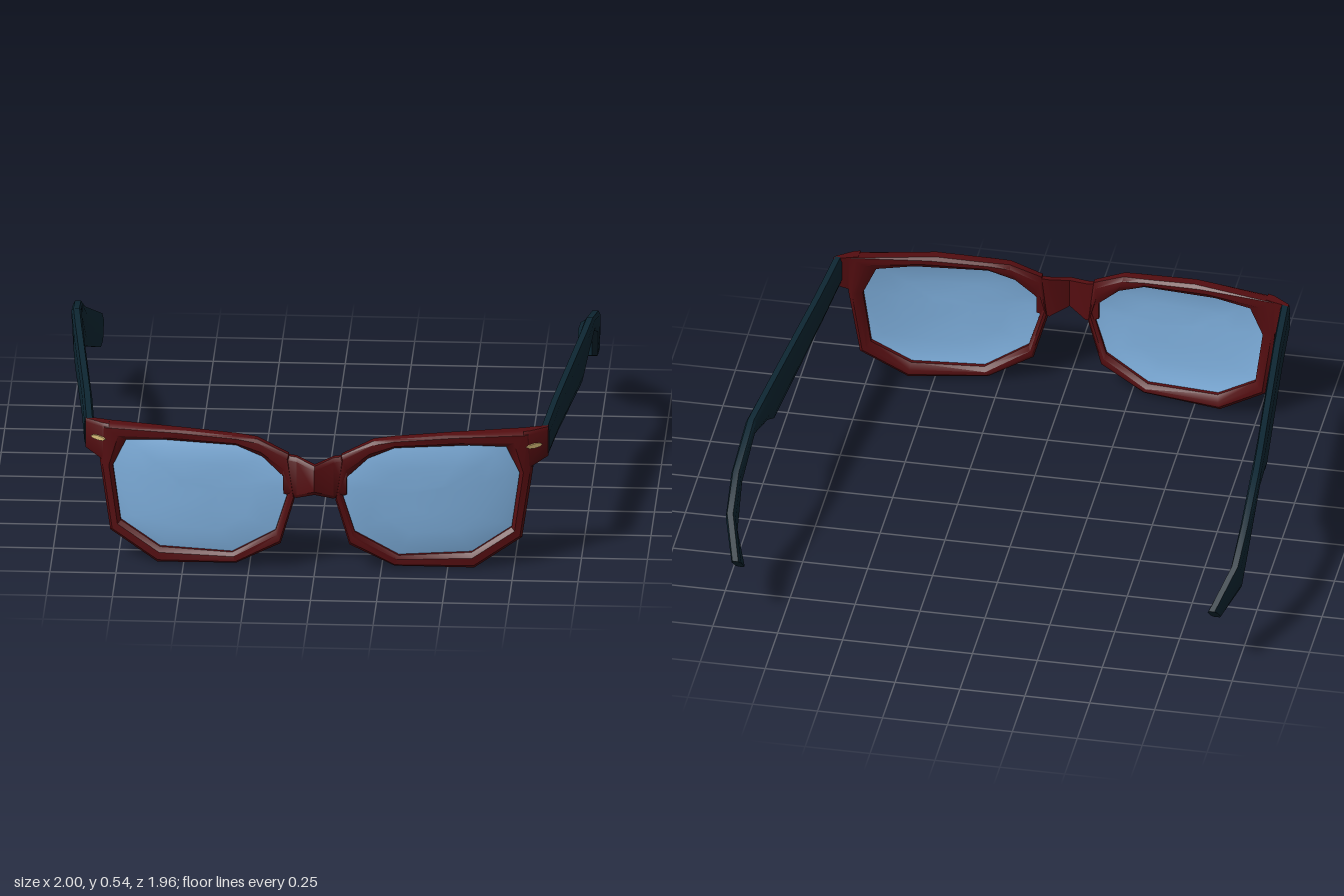
import * as THREE from 'three';
import { toCreasedNormals } from 'three/addons/utils/BufferGeometryUtils.js';

// Skin over a row of cross-sections (arrays of [x, y, z]); winding is set outward by signed volume
function loft(sections, { closed = false, startCap = true, endCap = true, crease = 0.6 } = {}) {
  const m = sections[0].length, n = sections.length;
  const pts = sections.flat().map(p => new THREE.Vector3(...p));
  const tris = [];
  for (let i = 0; i < (closed ? n : n - 1); i++) {
    for (let j = 0; j < m; j++) {
      const a = i * m + j, b = i * m + (j + 1) % m;
      const c = ((i + 1) % n) * m + j, d = ((i + 1) % n) * m + (j + 1) % m;
      tris.push([a, b, d], [a, d, c]);
    }
  }
  for (let j = 1; j < m - 1; j++) {
    const e = (n - 1) * m;
    if (!closed && startCap) tris.push([0, j + 1, j]);
    if (!closed && endCap) tris.push([e, e + j, e + j + 1]);
  }
  let volume = 0;
  const cross = new THREE.Vector3();
  for (const [a, b, c] of tris) volume += pts[a].dot(cross.crossVectors(pts[b], pts[c]));
  const g = new THREE.BufferGeometry().setFromPoints(pts);
  g.setIndex(tris.flatMap(([a, b, c]) => (volume < 0 ? [a, c, b] : [a, b, c])));
  return toCreasedNormals(g, crease);
}

// Forward curve of the frame front, z as a function of |x|
const CURVE = [[0, 0.98], [0.08, 0.937], [0.2, 0.925], [0.5, 0.9], [0.8, 0.845], [0.875, 0.785]];
function frontZ(x) {
  let i = 1;
  while (i < CURVE.length - 1 && CURVE[i][0] < x) i++;
  const [x0, z0] = CURVE[i - 1], [x1, z1] = CURVE[i];
  return z0 + (z1 - z0) * (x - x0) / (x1 - x0);
}
const depth = x => Math.min(0.06, 0.03 + 0.1 * x);

// Rim corners: outer x, y, then inner x, y
const RIM = [
  [0.10, 0.47, 0.125, 0.385], [0.22, 0.525, 0.20, 0.455], [0.30, 0.532, 0.30, 0.495],
  [0.50, 0.545, 0.58, 0.50], [0.82, 0.545, 0.72, 0.487], [0.82, 0.39, 0.77, 0.38],
  [0.78, 0.12, 0.74, 0.16], [0.60, 0.005, 0.59, 0.065], [0.30, 0.02, 0.315, 0.06],
  [0.13, 0.11, 0.15, 0.16], [0.078, 0.29, 0.095, 0.34],
];
// Rim profile: 0 outer to 1 inner, then depth from 0 front to 1 back
const RIM_PROFILE = [[0, 0.8], [0, 0.2], [0.2, 0], [0.7, 0], [1, 0.25], [1, 0.75], [0.6, 1], [0.25, 1]];

// Temple stations: top z, top y, bottom z, bottom y, x
const TEMPLE = [
  [0.78, 0.547, 0.78, 0.43, 0.862], [0.5, 0.547, 0.5, 0.418, 0.885],
  [-0.10, 0.546, -0.115, 0.385, 0.945], [-0.2, 0.545, -0.2, 0.43, 0.955],
  [-0.38, 0.545, -0.40, 0.487, 0.972], [-0.64, 0.475, -0.61, 0.40, 0.98],
  [-0.80, 0.39, -0.735, 0.255, 0.972], [-0.98, 0.295, -0.87, 0.20, 0.917],
];
// Temple profile: sideways in half widths, then 0 top to 1 bottom
const TEMPLE_PROFILE = [[-0.6, 0], [0.6, 0], [1, 0.2], [1, 0.8], [0.6, 1], [-0.6, 1], [-1, 0.8], [-1, 0.2]];

export function createModel() {
  const model = new THREE.Group();
  model.name = 'glasses';
  const material = (name, color) => Object.assign(new THREE.MeshStandardMaterial({ color }), { name });
  const red = material('dark red frame', 0x540d10);
  const navy = material('dark teal temples', 0x0e2733);
  const blue = material('blue lens', 0x7fb0de);
  blue.side = THREE.DoubleSide;
  const gold = material('pale gold', 0xd8bd78);

  const add = (name, geometry, mat) => {
    const mesh = new THREE.Mesh(geometry, mat);
    mesh.name = name;
    model.add(mesh);
    return mesh;
  };

  for (const s of [1, -1]) {
    const side = s > 0 ? 'left' : 'right';

    // Faceted rim around the lens
    add(side + 'Rim', loft(RIM.map(([ox, oy, ix, iy]) => RIM_PROFILE.map(([t, d]) => {
      const x = ox + (ix - ox) * t;
      return [s * x, oy + (iy - oy) * t, frontZ(x) - depth(x) * d];
    })), { closed: true }), red);

    // Softly domed lens, its edge tucked into the rim
    const cx = 0.44, cy = 0.285;
    const rings = [[1.02, 0], [0.85, 0.009], [0.6, 0.014], [0.25, 0.016]];
    add(side + 'Lens', loft(rings.map(([k, bulge]) => RIM.map(([, , ix, iy]) => {
      const x = cx + (ix - cx) * k;
      return [s * x, cy + (iy - cy) * k, frontZ(x) - depth(x) * 0.5 + bulge];
    })), { startCap: false, crease: 1.2 }), blue);

    // End piece joining rim and temple: x, bottom y, front z, back z
    const ends = [[0.785, 0.405, 0.846, 0.795], [0.81, 0.40, 0.837, 0.785], [0.876, 0.43, 0.788, 0.765]];
    add(side + 'EndPiece', loft(ends.map(([x, y, f, b]) => [
      [s * x, y, b], [s * x, y, f - 0.006], [s * x, y + 0.015, f],
      [s * x, 0.535, f], [s * x, 0.547, f - 0.008], [s * x, 0.547, b],
    ])), red);

    // Slim rivet plate on the end piece
    const rivet = add(side + 'Rivet', new THREE.CylinderGeometry(1, 1, 0.008, 8), gold);
    rivet.geometry.rotateX(Math.PI / 2).scale(0.035, 0.009, 1);
    rivet.position.set(s * 0.826, 0.487, 0.829);
    rivet.rotation.y = s * 0.64;

    // Temple arm with a bent ear hook
    add(side + 'Temple', loft(TEMPLE.map(([zt, yt, zb, yb, x]) => TEMPLE_PROFILE.map(([w, t]) =>
      [s * (x + 0.019 * w), yt + (yb - yt) * t, zt + (zb - zt) * t]))), navy);
  }

  // Bridge peaking forward at the centre: x, top y, bottom y, front z, back z
  const bridge = [[0.12, 0.465, 0.31, 0.93, 0.90], [0.07, 0.46, 0.295, 0.937, 0.905], [0, 0.44, 0.325, 0.98, 0.945]];
  const right = bridge.map(([x, ...r]) => [-x, ...r]);
  add('bridge', loft([...right, ...bridge.slice(0, 2).reverse()].map(([x, t, b, f, k]) => [
    [x, t, k], [x, t, f - 0.01], [x, t - 0.015, f], [x, b + 0.015, f], [x, b, f - 0.01], [x, b, k],
  ])), red);

  return model;
}
